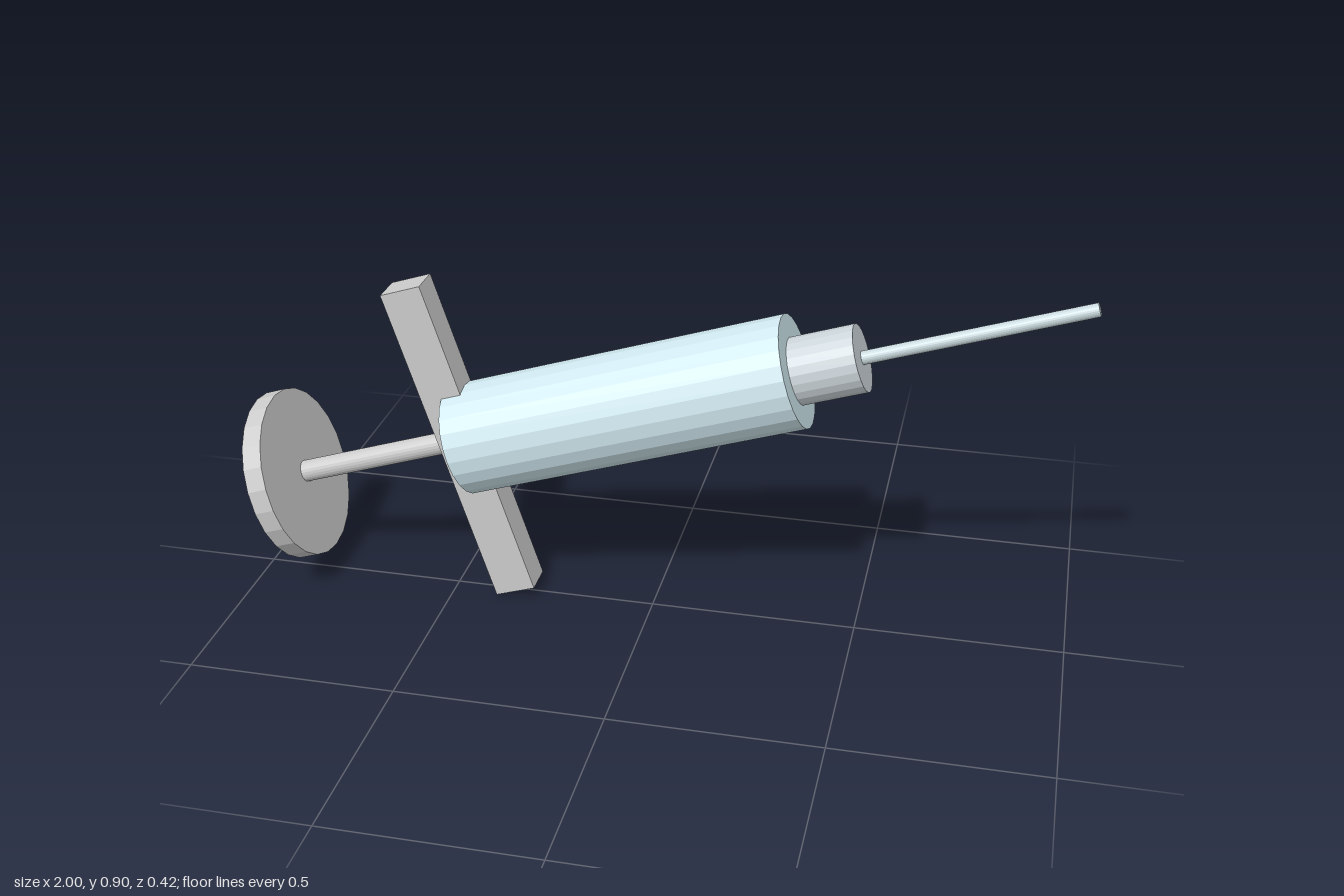
import * as THREE from 'three';

const SIDES = 24;

function material(color) {
  return new THREE.MeshStandardMaterial({ color, flatShading: true });
}

// Solid rod along the syringe axis, from x = start to x = end
function rod(name, start, end, radius, mat) {
  const geometry = new THREE.CylinderGeometry(radius, radius, end - start, SIDES);
  geometry.rotateZ(-Math.PI / 2);
  geometry.translate((start + end) / 2, 0, 0);
  const mesh = new THREE.Mesh(geometry, mat);
  mesh.name = name;
  return mesh;
}

export function createModel() {
  const grey = material(0xcccccc);
  const glass = material(0xd0e8f0);
  const hubGrey = material(0xccd5da);
  const steel = material(0xc8d8dc);

  // Everything lies along local x; the origin is the back end of the barrel
  const syringe = new THREE.Group();
  syringe.name = 'syringe';
  syringe.add(
    rod('plungerPlate', -0.492, -0.442, 0.212, grey),
    rod('plungerRod', -0.442, 0.02, 0.027, grey),
    rod('barrel', 0, 0.847, 0.135, glass),
    rod('needleHub', 0.847, 1.002, 0.08, hubGrey),
    rod('needle', 1.002, 1.536, 0.016, steel)
  );

  // Finger grip crossing the back of the barrel
  const grip = new THREE.Mesh(new THREE.BoxGeometry(0.102, 0.823, 0.083), grey);
  grip.name = 'fingerGrip';
  syringe.add(grip);

  // Tilt the needle upward
  syringe.rotation.z = THREE.MathUtils.degToRad(18);
  syringe.position.set(-0.468, 0.407, 0);

  const model = new THREE.Group();
  model.name = 'model';
  model.add(syringe);
  return model;
}
